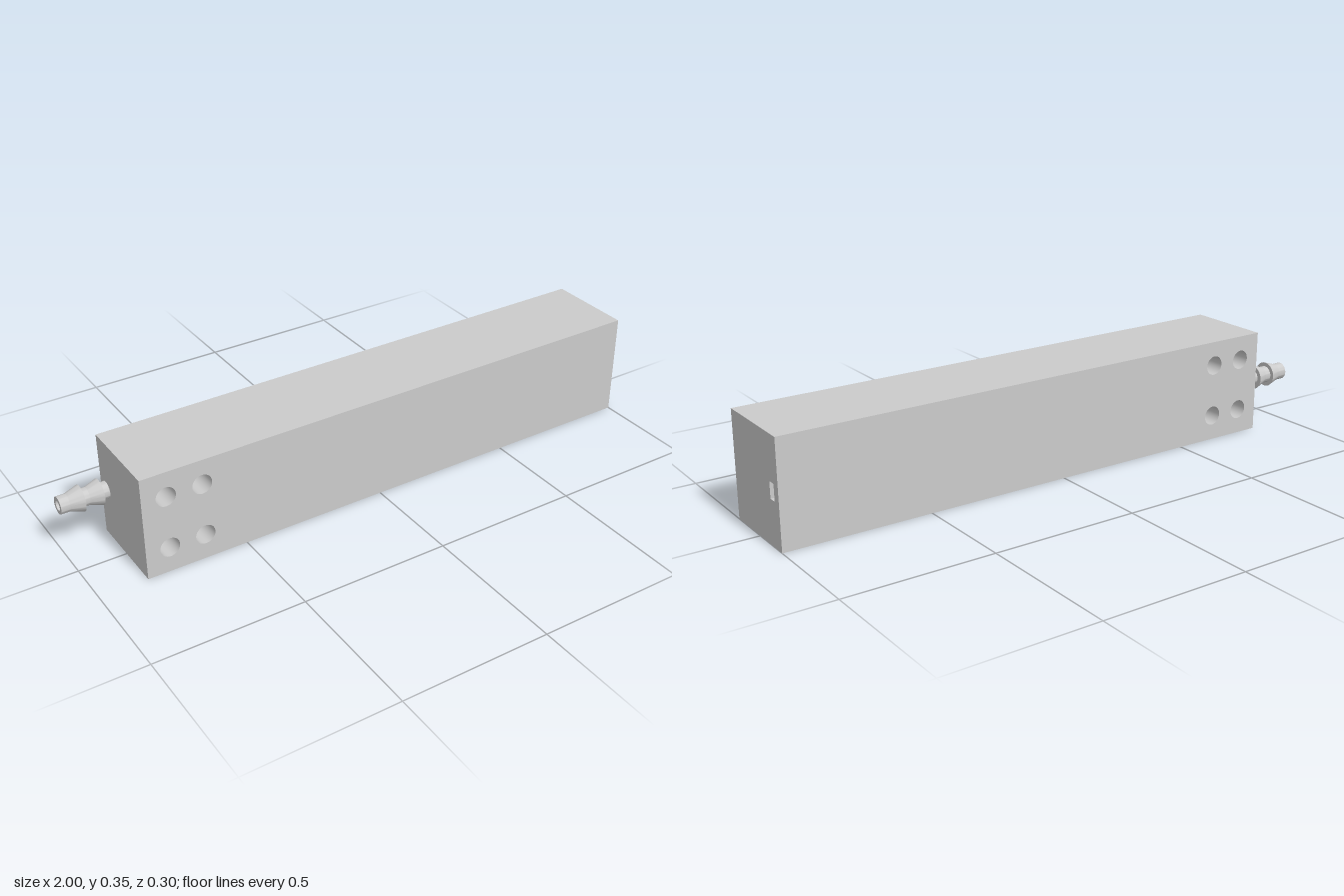
import * as THREE from 'three';
import { mergeGeometries, toCreasedNormals } from 'three/addons/utils/BufferGeometryUtils.js';

const X0 = -0.84, X1 = 1, H = 0.355, Z0 = -0.149, Z1 = 0.152;
const MID_X = (X0 + X1) / 2, MID_Z = (Z0 + Z1) / 2, LEN = X1 - X0, DEPTH = Z1 - Z0;
const PORT_Y = H / 2, PORT_Z = -0.107, BORE = 0.0165;
const SLOT_W = 0.028, SLOT_H = 0.055;
const HOLE_R = 0.033;

const grey = new THREE.MeshStandardMaterial({ color: 0xcccccc });
const liner = new THREE.MeshStandardMaterial({ color: 0xcccccc, side: THREE.DoubleSide });

function rect(PathType, cx, cy, w, h) {
  return new PathType([[-1, -1], [1, -1], [1, 1], [-1, 1]]
    .map(([u, v]) => new THREE.Vector2(cx + u * w / 2, cy + v * h / 2)));
}

function circle(cx, cy, r) {
  return new THREE.Path().absarc(cx, cy, r, 0, Math.PI * 2, true);
}

// Flat face centred on its own origin, with openings cut out
function panel(w, h, holes = []) {
  const shape = rect(THREE.Shape, 0, 0, w, h);
  shape.holes.push(...holes);
  return new THREE.ShapeGeometry(shape, 24);
}

export function createModel() {
  const model = new THREE.Group();
  const add = (name, geometry, material = grey) => {
    const mesh = new THREE.Mesh(geometry, material);
    mesh.name = name;
    model.add(mesh);
    return mesh;
  };

  // Mounting hole centres
  const mounts = [];
  for (const x of [-0.76, -0.64]) for (const y of [0.087, 0.27]) mounts.push([x, y]);
  const mountHoles = (side) => mounts.map(([x, y]) => circle(side * (x - MID_X), y - H / 2, HOLE_R));
  const portU = PORT_Z - MID_Z;

  // Rectangular body: six faces, pierced by mounting holes, slot and inlet
  add('body', mergeGeometries([
    panel(LEN, H, mountHoles(1)).translate(MID_X, H / 2, Z1),
    panel(LEN, H, mountHoles(-1)).rotateY(Math.PI).translate(MID_X, H / 2, Z0),
    panel(LEN, DEPTH).rotateX(-Math.PI / 2).translate(MID_X, H, MID_Z),
    panel(LEN, DEPTH).rotateX(Math.PI / 2).translate(MID_X, 0, MID_Z),
    panel(DEPTH, H, [rect(THREE.Path, -portU, 0, SLOT_W, SLOT_H)])
      .rotateY(Math.PI / 2).translate(X1, H / 2, MID_Z),
    panel(DEPTH, H, [circle(portU, 0, BORE)])
      .rotateY(-Math.PI / 2).translate(X0, H / 2, MID_Z),
  ]));

  // Walls of the mounting holes
  mounts.forEach(([x, y]) => {
    const wall = new THREE.CylinderGeometry(HOLE_R, HOLE_R, DEPTH, 48, 1, true);
    add('mountingHoleWall', wall.rotateX(Math.PI / 2).translate(x, y, MID_Z), liner);
  });

  // Rectangular channel running along the body
  const channel = [];
  for (const s of [-1, 1]) {
    channel.push(new THREE.PlaneGeometry(LEN, SLOT_H).translate(0, 0, s * SLOT_W / 2));
    channel.push(new THREE.PlaneGeometry(LEN, SLOT_W).rotateX(Math.PI / 2).translate(0, s * SLOT_H / 2, 0));
  }
  add('channelWalls', mergeGeometries(channel).translate(MID_X, PORT_Y, PORT_Z), liner);

  // Hollow hose barb: neck, two flared rings and bored tip
  const profile = [
    [0.028, 0], [0.028, 0.023], [0.043, 0.023], [0.029, 0.065],
    [0.029, 0.085], [0.043, 0.085], [0.029, 0.13], [0.029, 0.16],
    [BORE, 0.16], [BORE, 0],
  ].map(([r, d]) => new THREE.Vector2(r, d));
  const barb = toCreasedNormals(new THREE.LatheGeometry(profile, 48), 0.3);
  add('hoseBarb', barb.rotateZ(Math.PI / 2).translate(X0, PORT_Y, PORT_Z - 0.002));

  return model;
}
